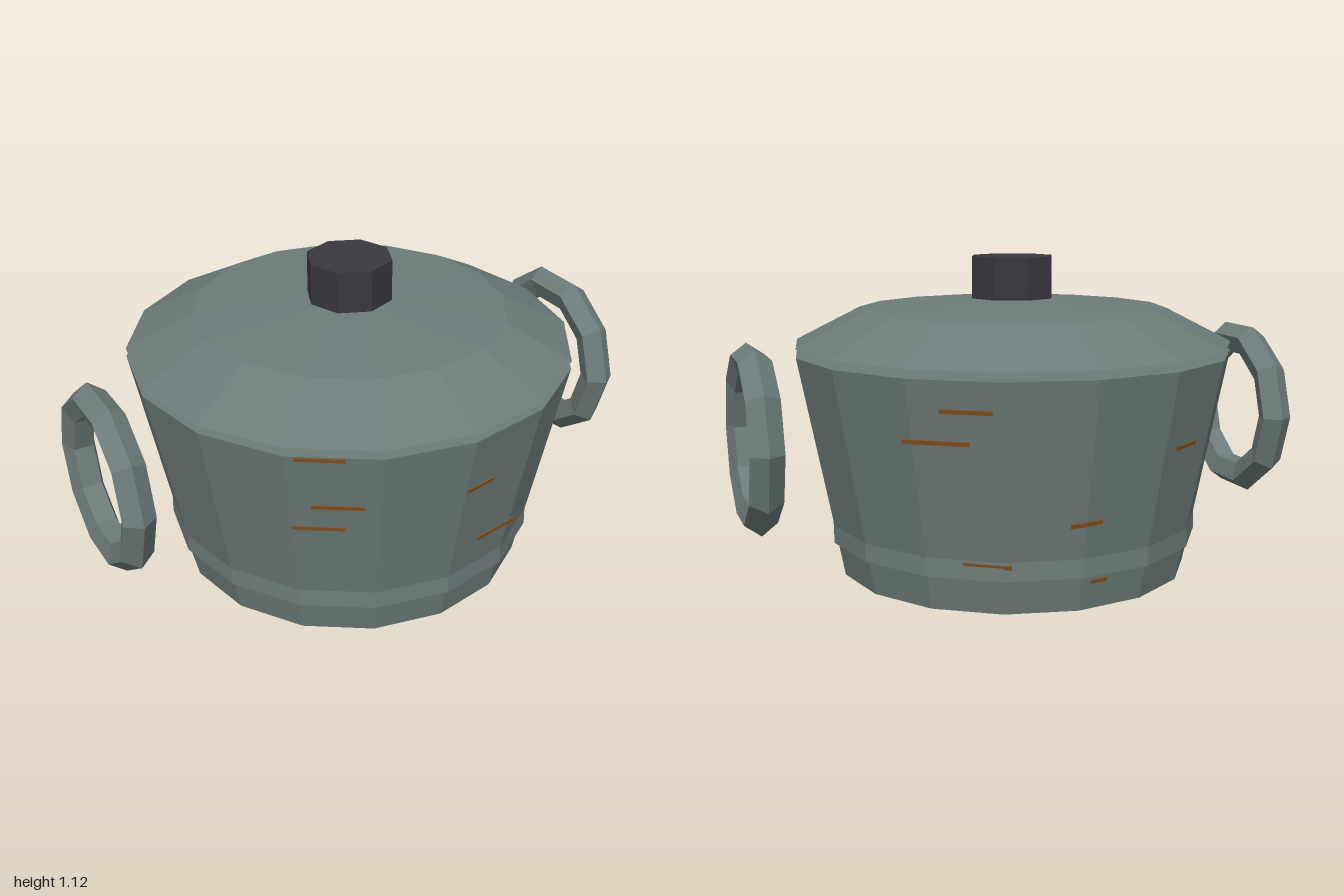
import * as THREE from 'three';

const SIDES = 16;
const WALL = { bottom: 0.635, top: 0.79, height: 0.79 };

export function createModel() {
  const mat = (name, color) => {
    const m = new THREE.MeshStandardMaterial({ color, flatShading: true });
    m.name = name;
    return m;
  };
  const metal = mat('greyGreenMetal', 0x6c7b79);
  const dark = mat('darkKnob', 0x3a363f);
  const rust = mat('rust', 0x85511f);

  const pot = new THREE.Group();
  pot.name = 'cookingPot';
  const add = (name, geometry, material, x = 0, y = 0, z = 0) => {
    const mesh = new THREE.Mesh(geometry, material);
    mesh.name = name;
    mesh.position.set(x, y, z);
    pot.add(mesh);
    return mesh;
  };
  // Faceted round part between two heights
  const round = (name, rBottom, rTop, y0, y1, material, sides = SIDES) =>
    add(name, new THREE.CylinderGeometry(rTop, rBottom, y1 - y0, sides), material, 0, (y0 + y1) / 2);

  // Tapered body and the reinforcing band near its foot
  round('body', WALL.bottom, WALL.top, 0, WALL.height, metal);
  round('footBand', 0.673, 0.671, 0.122, 0.21, metal);

  // Lid floating just above the rim: sloped skirt and shallow crown
  round('lidSkirt', 0.79, 0.555, 0.82, 0.94, metal);
  round('lidCrown', 0.555, 0.02, 0.94, 0.971, metal);
  round('knob', 0.153, 0.153, 0.976, 1.125, dark, 8);

  // Ring handles on both sides
  for (const side of [1, -1]) {
    const ring = add(side > 0 ? 'leftHandle' : 'rightHandle',
      new THREE.TorusGeometry(0.275, 0.0605, 5, 10), metal, side * 0.9425, 0.52, 0);
    ring.rotation.y = Math.PI / 2;
  }

  // Rust streaks lying flat on the body facets: [angle from front in degrees, height, length]
  const streaks = [
    [-37, 0.78, 0.16], [-33, 0.58, 0.17], [5, 0.58, 0.12], [-38, 0.485, 0.17], [17, 0.308, 0.18],
    [149, 0.69, 0.17], [141, 0.585, 0.22], [153, 0.17, 0.16],
    [213, 0.52, 0.13], [180, 0.31, 0.12], [186, 0.1, 0.06],
  ];
  const step = (2 * Math.PI) / SIDES;
  const inset = Math.cos(step / 2);
  const tilt = Math.atan(((WALL.top - WALL.bottom) * inset) / WALL.height);
  for (const [degrees, y, length] of streaks) {
    const angle = THREE.MathUtils.degToRad(degrees);
    const facet = (Math.floor(angle / step) + 0.5) * step;
    const apothem = inset * THREE.MathUtils.lerp(WALL.bottom, WALL.top, y / WALL.height);
    const holder = new THREE.Group();
    holder.name = 'rustStreak';
    holder.rotation.y = facet;
    const plate = new THREE.Mesh(new THREE.BoxGeometry(length, 0.014, 0.008), rust);
    plate.name = 'rustStreakPlate';
    plate.position.set(apothem * Math.tan(angle - facet), y, apothem);
    plate.rotation.x = tilt;
    holder.add(plate);
    pot.add(holder);
  }
  return pot;
}
